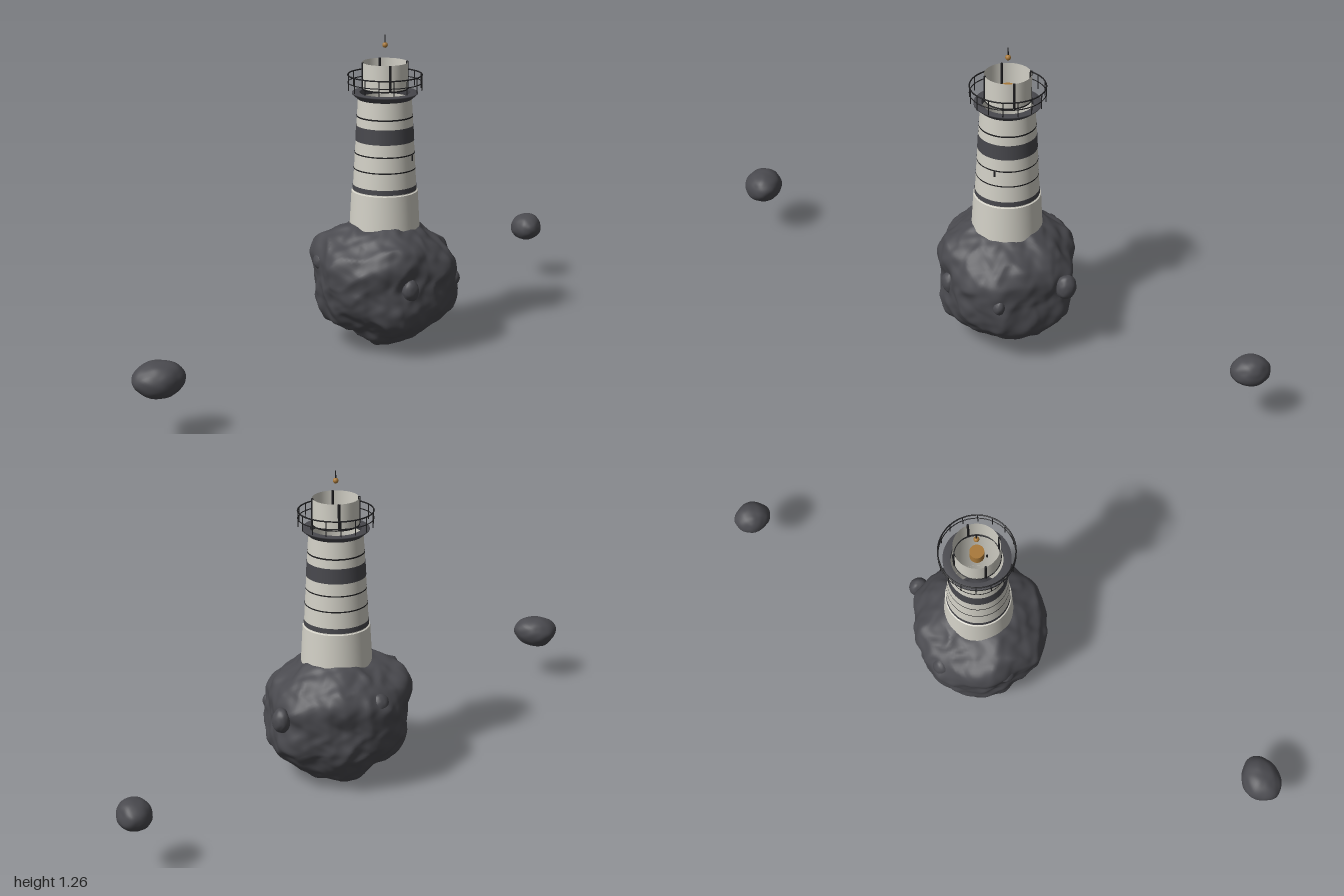
import * as THREE from 'three';
import { mergeVertices } from 'three/addons/utils/BufferGeometryUtils.js';

const mat = (name, color, side = THREE.FrontSide) => {
  const m = new THREE.MeshStandardMaterial({ color, side });
  m.name = name;
  return m;
};

export function createModel() {
  const rock = mat('dark rock', 0x4a4a4f);
  const cream = mat('cream paint', 0xd2d0c6, THREE.DoubleSide);
  const band = mat('grey band', 0x47474c, THREE.DoubleSide);
  const iron = mat('black iron', 0x1e1e20, THREE.DoubleSide);
  const brass = mat('brass', 0xa87838);

  const model = new THREE.Group();
  model.name = 'lighthouseOnRock';
  const add = (parent, name, geo, material, x = 0, y = 0, z = 0) => {
    const m = new THREE.Mesh(geo, material);
    m.name = name;
    m.position.set(x, y, z);
    parent.add(m);
    return m;
  };

  // Smooth sphere whose radius follows a rule of direction
  const lumpy = (detail, radius) => {
    let g = new THREE.IcosahedronGeometry(1, detail);
    g.deleteAttribute('uv');
    g.deleteAttribute('normal');
    g = mergeVertices(g, 1e-4);
    const p = g.attributes.position, v = new THREE.Vector3();
    for (let i = 0; i < p.count; i++) {
      v.fromBufferAttribute(p, i).normalize();
      v.multiplyScalar(radius(v));
      p.setXYZ(i, v.x, v.y, v.z);
    }
    g.computeVertexNormals();
    return g;
  };
  const noise = (v, f, s) =>
    (Math.sin(f * v.x + 1.7 * s + 1.6 * Math.sin(f * 0.8 * v.y + s)) +
     Math.sin(f * v.y + 2.3 * s + 1.6 * Math.sin(f * 0.8 * v.z + 2 * s)) +
     Math.sin(f * v.z + 3.1 * s + 1.6 * Math.sin(f * 0.8 * v.x + 3 * s))) / 3;

  // Main rock: blend of two outlines, one every 30 degrees
  const frontOutline = [0.28, 0.29, 0.27, 0.245, 0.275, 0.32, 0.28, 0.275, 0.245, 0.257, 0.27, 0.298];
  const sideOutline = [0.255, 0.305, 0.265, 0.245, 0.275, 0.295, 0.262, 0.268, 0.262, 0.262, 0.28, 0.275];
  const sample = (table, angle) => {
    const t = ((angle / (2 * Math.PI)) * 12 + 24) % 12, i = Math.floor(t), f = t - i;
    const s = f * f * (3 - 2 * f);
    return table[i % 12] * (1 - s) + table[(i + 1) % 12] * s;
  };
  const rockRadius = v => {
    const wx = v.x * v.x + 0.001, wz = v.z * v.z + 0.001;
    const a = sample(frontOutline, Math.atan2(v.y, v.x));
    const b = sample(sideOutline, Math.atan2(v.y, -v.z));
    return (a * wx + b * wz) / (wx + wz) + 0.02 * noise(v, 5.5, 1.3)
      + 0.012 * (0.4 - Math.abs(noise(v, 9, 2.1))) + 0.004 * noise(v, 22, 0.7);
  };
  add(model, 'mainRock', lumpy(32, rockRadius), rock, 0.1, 0.265, -0.055);

  // Small stones stuck to the rock, and two loose boulders
  const pebble = s => lumpy(10, v => 1 + 0.07 * noise(v, 3, s) + 0.02 * noise(v, 8, s));
  [
    ['frontStone', 0.15, 0.285, 0.19, 0.035, 0.044, 0.03],
    ['sideStone', 0.345, 0.315, -0.23, 0.035, 0.05, 0.042],
    ['lowSideStone', 0.365, 0.28, 0.045, 0.025, 0.033, 0.025],
    ['rearStone', -0.03, 0.38, -0.27, 0.04, 0.04, 0.035],
    ['farSideStone', -0.155, 0.36, -0.04, 0.035, 0.035, 0.035],
    ['frontBoulder', -0.907, 0.217, 0.772, 0.092, 0.068, 0.077],
    ['rearBoulder', 0.932, 0.233, -0.768, 0.066, 0.058, 0.074],
  ].forEach(([name, x, y, z, a, b, c], i) =>
    add(model, name, pebble(i + 1), rock, x, y, z).scale.set(a, b, c));

  // Lighthouse, standing on its own axis
  const tower = new THREE.Group();
  tower.name = 'lighthouse';
  tower.position.set(0.105, 0, -0.055);
  model.add(tower);
  const lathe = (pts, seg = 48) =>
    new THREE.LatheGeometry(pts.map(([r, y]) => new THREE.Vector2(r, y)), seg);
  const ring = (r, tube) => new THREE.TorusGeometry(r, tube, 6, 48).rotateX(Math.PI / 2);

  add(tower, 'towerBase', lathe([[0.145, 0.4], [0.132, 0.635]]), cream);
  add(tower, 'towerLedge', lathe([[0.132, 0.635], [0.126, 0.638]]), cream);
  add(tower, 'towerShaft', lathe([[0.127, 0.635], [0.106, 1.01]]), cream);
  const shaftRadius = y => 0.127 - (0.021 * (y - 0.635)) / 0.375;
  [[0.641, 0.661], [0.725, 0.73], [0.788, 0.793], [0.84, 0.9], [0.934, 0.94]].forEach(([a, b]) =>
    add(tower, 'paintedBand',
      lathe([[shaftRadius(a) + 0.0012, a], [shaftRadius(b) + 0.0012, b]]),
      b - a < 0.01 ? iron : band));
  add(tower, 'windowSlit', new THREE.BoxGeometry(0.008, 0.022, 0.006), iron, 0.092, 0.776, 0.075)
    .rotation.y = -0.68;
  add(tower, 'collar',
    lathe([[0.1, 1.03], [0.1, 1.005], [0.107, 1.005], [0.13, 1.025], [0.13, 1.03], [0.1, 1.03]]), band);

  // Gallery railing
  const railR = 0.146;
  add(tower, 'topRail', ring(railR, 0.0028), iron, 0, 1.1, 0);
  add(tower, 'middleRail', ring(railR, 0.002), iron, 0, 1.07, 0);
  const post = new THREE.CylinderGeometry(0.002, 0.002, 0.06, 6);
  for (let i = 0; i < 16; i++) {
    const a = (i / 16) * Math.PI * 2;
    add(tower, 'railPost', post, iron, railR * Math.cos(a), 1.07, railR * Math.sin(a));
  }

  // Lantern room with four bars and the lamp inside
  add(tower, 'lanternWall', lathe([[0.09, 1.045], [0.09, 1.15]]), cream);
  add(tower, 'lanternSill', ring(0.09, 0.003), iron, 0, 1.046, 0);
  for (let i = 0; i < 4; i++) {
    const a = (i * Math.PI) / 2;
    add(tower, 'lanternBar', new THREE.CylinderGeometry(0.005, 0.005, 0.105, 8), iron,
      0.09 * Math.cos(a), 1.0975, 0.09 * Math.sin(a));
  }
  add(tower, 'lamp', new THREE.CylinderGeometry(0.028, 0.028, 0.045, 24), brass, 0, 1.075, 0);

  // Finial
  add(tower, 'finialBall', new THREE.SphereGeometry(0.011, 16, 12), brass, 0, 1.217, 0);
  add(tower, 'finialRod', new THREE.CylinderGeometry(0.002, 0.003, 0.04, 8), iron, 0, 1.237, 0);

  return model;
}
